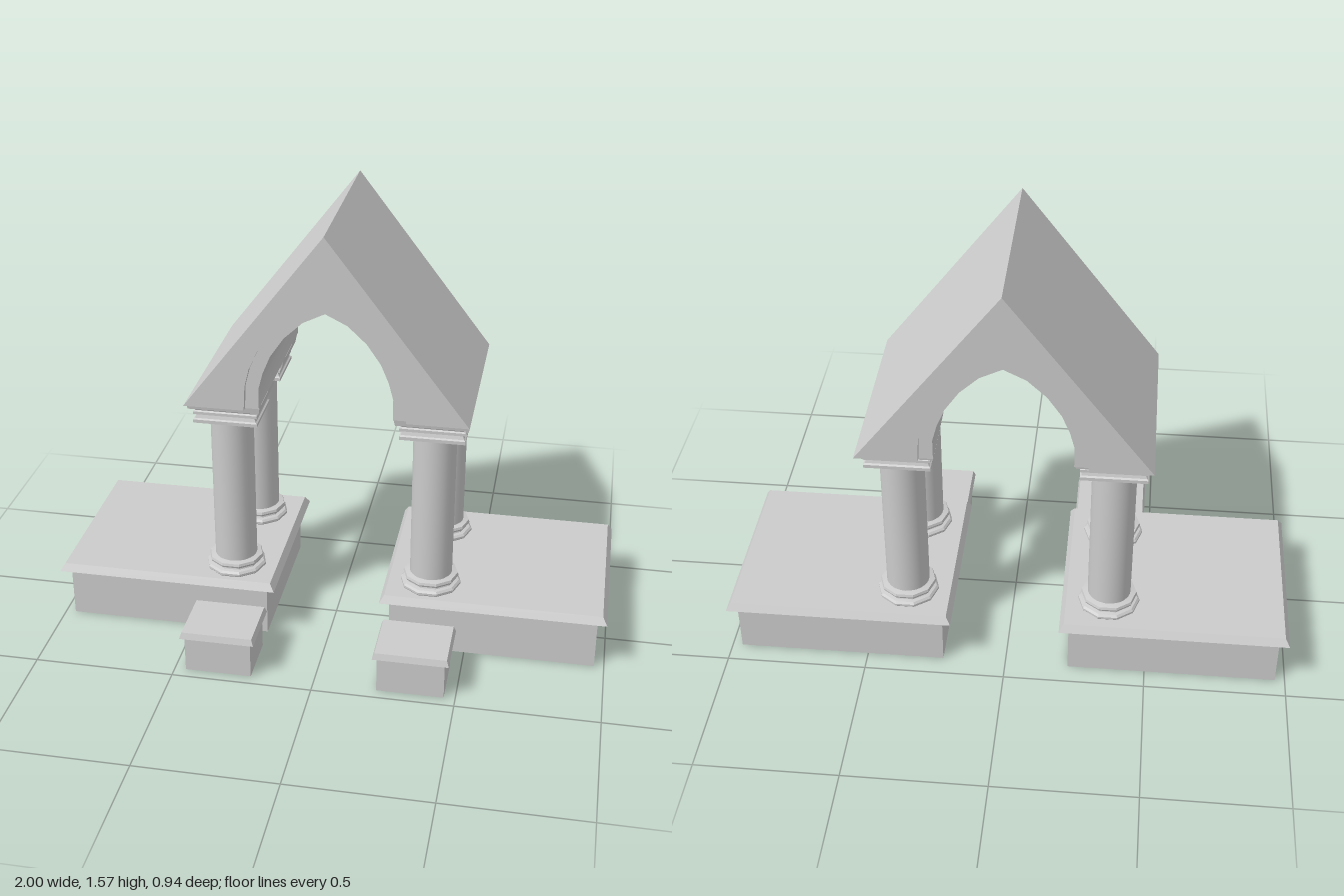
import * as THREE from 'three';
import { toCreasedNormals } from 'three/addons/utils/BufferGeometryUtils.js';

const material = new THREE.MeshStandardMaterial({ color: 0xcccccc, side: THREE.DoubleSide });

function add(parent, name, geometry, x = 0, y = 0, z = 0) {
  const mesh = new THREE.Mesh(geometry, material);
  mesh.name = name;
  mesh.position.set(x, y, z);
  parent.add(mesh);
  return mesh;
}

// Rectangular moulding: rings of [half width, half depth, height], flat faces
function rectLoft(rings) {
  const pos = [];
  const corner = ([hx, hz, y], i) => {
    const [sx, sz] = [[1, 1], [1, -1], [-1, -1], [-1, 1]][i % 4];
    return [sx * hx, y, sz * hz];
  };
  for (let r = 0; r < rings.length - 1; r++) {
    for (let i = 0; i < 4; i++) {
      const a = corner(rings[r], i), b = corner(rings[r], i + 1);
      const c = corner(rings[r + 1], i + 1), d = corner(rings[r + 1], i);
      if (rings[r][0] > 0) pos.push(...a, ...b, ...c);
      if (rings[r + 1][0] > 0) pos.push(...a, ...c, ...d);
    }
  }
  const geometry = new THREE.BufferGeometry();
  geometry.setAttribute('position', new THREE.Float32BufferAttribute(pos, 3));
  geometry.computeVertexNormals();
  return geometry;
}

// Hollow block, open below, with a sloping overhanging coping
function plinth(hx, hz, bodyTop, top, lip) {
  return rectLoft([
    [hx, hz, 0], [hx, hz, bodyTop],
    [hx + lip, hz + lip, bodyTop],
    [hx + lip * 0.5, hz + lip * 0.5, top],
    [0, 0, top],
  ]);
}

// Gable slice with an arched opening, half-arch listed from springing to apex
function gable(halfArch, depth) {
  const mirrored = halfArch.slice(0, -1).reverse().map(([x, y]) => [-x, y]);
  const outline = [[0.49, 0.93], [0, 1.57], [-0.49, 0.93],
    ...[...halfArch, ...mirrored].reverse()];
  const shape = new THREE.Shape(outline.map(([x, y]) => new THREE.Vector2(x, y)));
  const geometry = new THREE.ExtrudeGeometry(shape, { depth, bevelEnabled: false });
  return toCreasedNormals(geometry, 0.5);
}

function createColumn() {
  const column = new THREE.Group();
  column.name = 'column';

  // Ten-sided base mouldings
  const profile = [[0.104, 0.22], [0.109, 0.226], [0.109, 0.234], [0.102, 0.241],
    [0.09, 0.244], [0.088, 0.25], [0.097, 0.254], [0.1, 0.261], [0.097, 0.27], [0.076, 0.275]];
  const base = new THREE.LatheGeometry(profile.map(([r, y]) => new THREE.Vector2(r, y)), 10);
  add(column, 'columnBase', toCreasedNormals(base, 0.4)).rotation.y = Math.PI / 2;

  // Smooth shaft
  add(column, 'shaft', new THREE.CylinderGeometry(0.076, 0.076, 0.58, 32, 1, true), 0, 0.56, 0);

  // Stepped rectangular capital
  add(column, 'capital', rectLoft([
    [0, 0, 0.84], [0.113, 0.1, 0.84], [0.113, 0.1, 0.852],
    [0.108, 0.094, 0.856], [0.103, 0.09, 0.868],
    [0.113, 0.098, 0.872], [0.113, 0.098, 0.882],
    [0.105, 0.092, 0.886], [0.118, 0.102, 0.902],
    [0.125, 0.119, 0.902], [0.13, 0.124, 0.929], [0, 0, 0.929],
  ]));
  return column;
}

export function createModel() {
  const model = new THREE.Group();
  model.name = 'archedGateway';

  for (const [side, s] of [['left', 1], ['right', -1]]) {
    // Large platform and small block in front of it
    add(model, side + 'Platform', plinth(0.37, 0.303, 0.195, 0.222, 0.033), s * 0.595, 0, -0.123);
    add(model, side + 'FrontBlock', plinth(0.118, 0.096, 0.138, 0.161, 0.015), s * 0.342, 0, 0.363);

    // Front and back columns
    for (const [end, z] of [['Front', 0.075], ['Back', -0.303]]) {
      const column = createColumn();
      column.name = side + end + 'Column';
      column.position.set(s * 0.36, 0, z);
      model.add(column);
    }
  }

  // Gabled roof: inner vault between two slices with a wider arch
  const vault = [[0.23, 0.93], [0.23, 1.005], [0.214, 1.065], [0.187, 1.13],
    [0.139, 1.2], [0.075, 1.26], [0, 1.297]];
  const rim = [[0.278, 0.93], [0.273, 1.02], [0.257, 1.085], [0.225, 1.155],
    [0.166, 1.235], [0.096, 1.29], [0, 1.33]];
  const roof = new THREE.Group();
  roof.name = 'roof';
  add(roof, 'vault', gable(vault, 0.66), 0, 0, -0.45);
  add(roof, 'frontGable', gable(rim, 0.02), 0, 0, 0.21);
  add(roof, 'backGable', gable(rim, 0.02), 0, 0, -0.47);
  model.add(roof);

  return model;
}
